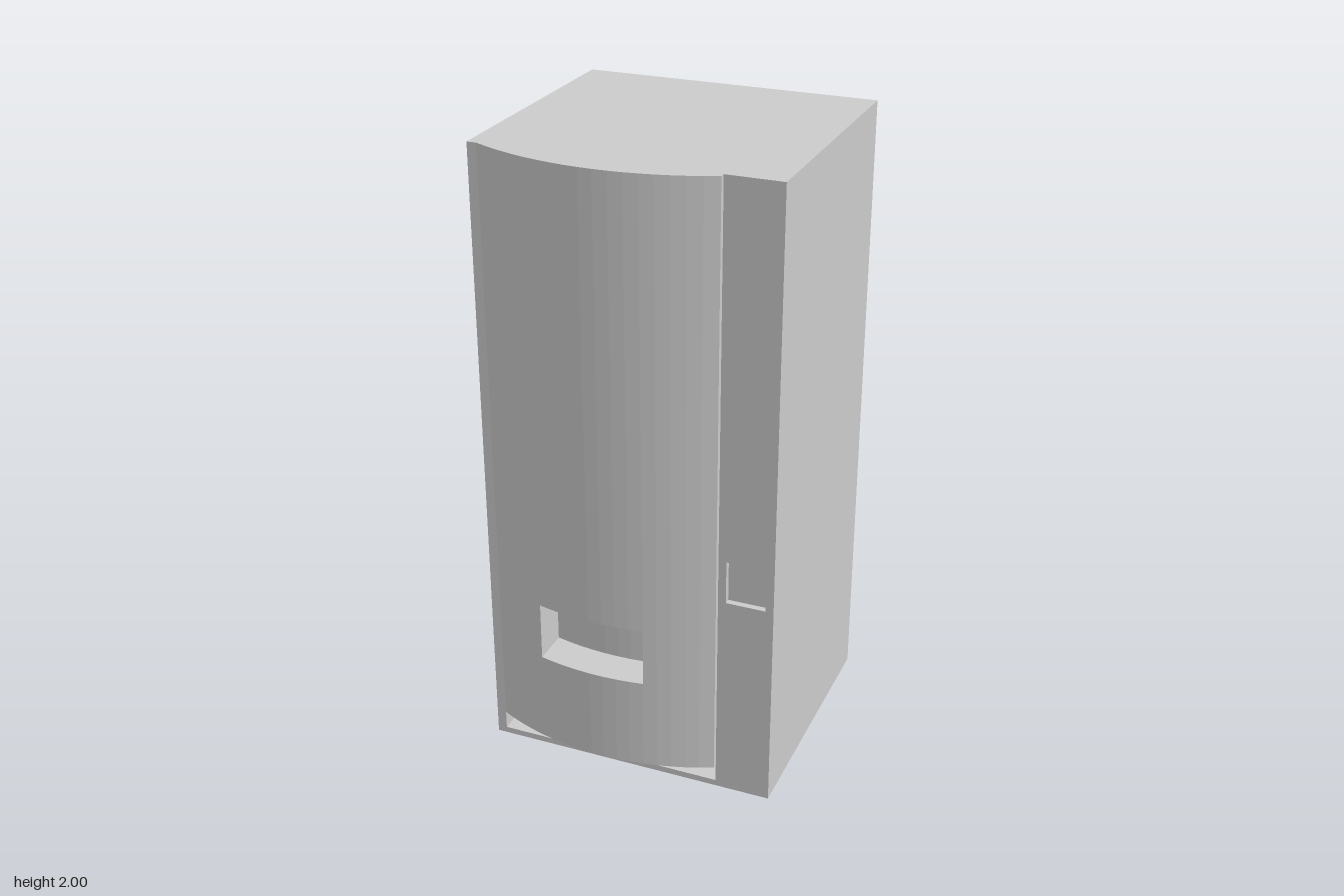
import * as THREE from 'three';

const material = new THREE.MeshStandardMaterial({ color: 0xcccccc, flatShading: true, side: THREE.DoubleSide });

const W = 0.47, H = 2, BACK = -0.465, FRONT = 0.37;      // cabinet shell
const DOOR_L = -0.44, DOOR_R = 0.295, DOOR_Y = 0.08;     // bowed door
const SLOT = { x0: -0.265, x1: 0.085, y0: 0.38, y1: 0.57 };
const COIN = { x0: 0.32, x1: 0.445, y0: 0.68, y1: 0.82 };

// Depth of the door's circular bow at x
const R = 0.852, CX = -0.055, PEAK = 0.462;
const bow = (x) => PEAK - R + Math.sqrt(R * R - (x - CX) ** 2);
const flat = () => FRONT;

const span = (a, b, n) => Array.from({ length: n + 1 }, (_, i) => a + (b - a) * i / n);
const leftXs = span(DOOR_L, SLOT.x0, 4);
const slotXs = span(SLOT.x0, SLOT.x1, 8);
const rightXs = span(SLOT.x1, DOOR_R, 5);
const doorXs = [...leftXs, ...slotXs.slice(1), ...rightXs.slice(1)];

const line = (xs, y, depth, inset = 0) => xs.map((x) => [x, y, depth(x) - inset]);

function addMesh(parent, name, geometry) {
  const mesh = new THREE.Mesh(geometry, material);
  mesh.name = name;
  parent.add(mesh);
  return mesh;
}

// Strip of quads between a lower and an upper polyline (left to right from outside)
function ribbon(parent, name, a, b) {
  const pos = [];
  for (let i = 0; i < a.length - 1; i++) {
    pos.push(...a[i], ...a[i + 1], ...b[i + 1], ...a[i], ...b[i + 1], ...b[i]);
  }
  const g = new THREE.BufferGeometry();
  g.setAttribute('position', new THREE.Float32BufferAttribute(pos, 3));
  g.computeVertexNormals();
  return addMesh(parent, name, g);
}

// Upright sheet following a depth rule
const sheet = (parent, name, xs, y0, y1, depth, inset = 0) =>
  ribbon(parent, name, line(xs, y0, depth, inset), line(xs, y1, depth, inset));

// Flat front panel with an optional rectangular opening
function panel(parent, name, x0, x1, y0, y1, hole) {
  const rect = (Type, a, b, c, d) => {
    const p = new Type();
    p.moveTo(a, c); p.lineTo(b, c); p.lineTo(b, d); p.lineTo(a, d); p.closePath();
    return p;
  };
  const shape = rect(THREE.Shape, x0, x1, y0, y1);
  if (hole) shape.holes.push(rect(THREE.Path, hole.x0, hole.x1, hole.y0, hole.y1));
  addMesh(parent, name, new THREE.ShapeGeometry(shape).translate(0, 0, FRONT));
}

// Recess sunk behind an opening: back, floor, ceiling and two sides
function niche(parent, name, xs, y0, y1, depth, inset) {
  const group = new THREE.Group();
  group.name = name;
  parent.add(group);
  const [f0, f1] = [y0, y1].map((y) => line(xs, y, depth));
  const [b0, b1] = [y0, y1].map((y) => line(xs, y, depth, inset));
  const n = xs.length - 1;
  ribbon(group, name + 'Back', b0, b1);
  ribbon(group, name + 'Floor', f0, b0);
  ribbon(group, name + 'Ceiling', b1, f1);
  ribbon(group, name + 'RightSide', [f0[0], b0[0]], [f1[0], b1[0]]);
  ribbon(group, name + 'LeftSide', [b0[n], f0[n]], [b1[n], f1[n]]);
}

export function createModel() {
  const model = new THREE.Group();
  model.name = 'vendingMachine';

  // Cabinet: side and back walls, open underneath
  const cabinet = new THREE.Group();
  cabinet.name = 'cabinet';
  model.add(cabinet);
  const corners = [[W, FRONT], [W, BACK], [-W, BACK], [-W, FRONT]];
  ['leftWall', 'backWall', 'rightWall'].forEach((name, i) => {
    const pair = [corners[i], corners[i + 1]];
    ribbon(cabinet, name, pair.map(([x, z]) => [x, 0, z]), pair.map(([x, z]) => [x, H, z]));
  });

  // Top follows the bowed door outline
  const outline = [...corners, ...doorXs.map((x) => [x, bow(x)]), [DOOR_R, FRONT]];
  const topShape = new THREE.Shape(outline.map(([x, z]) => new THREE.Vector2(x, -z)));
  addMesh(cabinet, 'top', new THREE.ShapeGeometry(topShape).rotateX(-Math.PI / 2).translate(0, H, 0));

  // Flat front: narrow edge, control column and base strip
  panel(cabinet, 'frontEdge', -W, DOOR_L, 0, H);
  panel(cabinet, 'controlColumn', DOOR_R, W, 0, H, COIN);
  panel(cabinet, 'baseStrip', DOOR_L, DOOR_R, 0, 0.02);
  niche(cabinet, 'coinReturn', [COIN.x0, COIN.x1], COIN.y0, COIN.y1, flat, 0.02);
  niche(cabinet, 'kickRecess', [DOOR_L, DOOR_R], 0.02, DOOR_Y, flat, 0.08);

  // Bowed door around the dispensing slot
  const door = new THREE.Group();
  door.name = 'door';
  model.add(door);
  sheet(door, 'doorRightPart', leftXs, DOOR_Y, H, bow);
  sheet(door, 'doorLeftPart', rightXs, DOOR_Y, H, bow);
  sheet(door, 'doorBelowSlot', slotXs, DOOR_Y, SLOT.y0, bow);
  sheet(door, 'doorAboveSlot', slotXs, SLOT.y1, H, bow);
  ribbon(door, 'doorUnderside', line(doorXs, DOOR_Y, flat), line(doorXs, DOOR_Y, bow));
  const edge = (y) => [[DOOR_R, y, bow(DOOR_R)], [DOOR_R, y, FRONT]];
  ribbon(door, 'doorEdge', edge(DOOR_Y), edge(H));
  niche(door, 'dispensingSlot', slotXs, SLOT.y0, SLOT.y1, bow, 0.12);

  return model;
}
